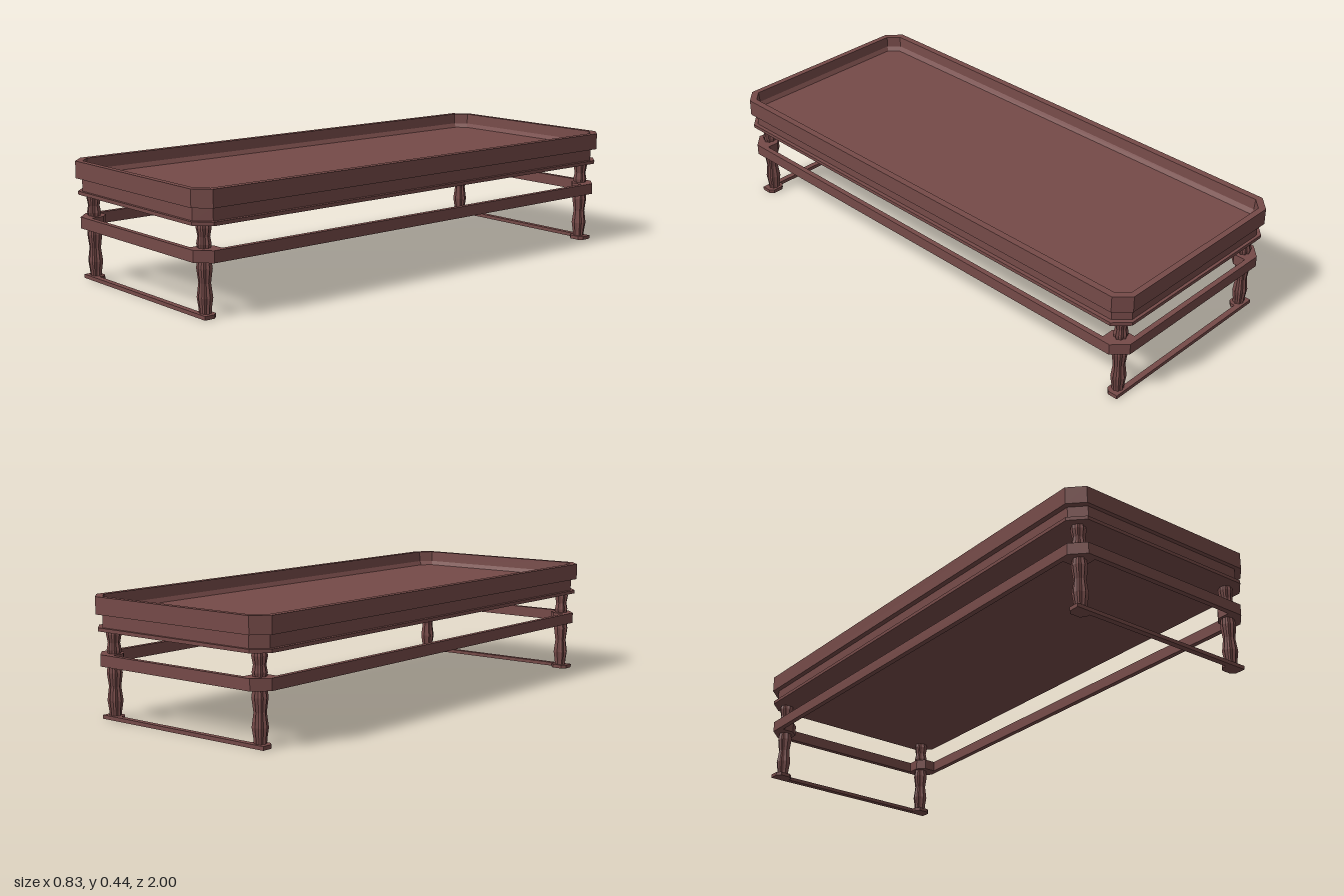
import * as THREE from 'three';

const material = new THREE.MeshStandardMaterial({ color: 0x754a48, flatShading: true });

function addMesh(parent, name, geometry) {
  const mesh = new THREE.Mesh(geometry, material);
  mesh.name = name;
  parent.add(mesh);
  return mesh;
}

// Rectangle with cut corners as plan points, counter-clockwise
function octagon(hx, hz, c) {
  return [
    [hx, -hz + c], [hx, hz - c], [hx - c, hz], [-hx + c, hz],
    [-hx, hz - c], [-hx, -hz + c], [-hx + c, -hz], [hx - c, -hz],
  ].map(([x, y]) => new THREE.Vector2(x, y));
}

// Skin over stacked octagon sections [halfX, halfZ, corner, y], capped at both ends
function loft(sections) {
  const positions = [];
  const index = [];
  for (const [hx, hz, c, y] of sections) {
    for (const p of octagon(hx, hz, c)) positions.push(p.x, y, -p.y);
  }
  for (let s = 0; s < sections.length - 1; s++) {
    for (let i = 0; i < 8; i++) {
      const a = s * 8 + i, b = s * 8 + (i + 1) % 8;
      index.push(a, b, b + 8, a, b + 8, a + 8);
    }
  }
  const last = (sections.length - 1) * 8;
  for (let i = 1; i < 7; i++) {
    index.push(0, i + 1, i);
    index.push(last, last + i, last + i + 1);
  }
  const g = new THREE.BufferGeometry();
  g.setAttribute('position', new THREE.Float32BufferAttribute(positions, 3));
  g.setIndex(index);
  const flat = g.toNonIndexed();
  flat.computeVertexNormals();
  return flat;
}

// Flat plan shape raised from y0 to y1
function slab(shape, y0, y1) {
  const g = new THREE.ExtrudeGeometry(shape, { depth: y1 - y0, bevelEnabled: false });
  return g.rotateX(-Math.PI / 2).translate(0, y0, 0);
}

// Fluted, wavy post: a lathe with every second ridge pulled in
function legGeometry() {
  const profile = [
    [0.023, 0.012], [0.024, 0.03], [0.03, 0.068], [0.023, 0.118], [0.03, 0.168],
    [0.024, 0.205], [0.024, 0.232], [0.028, 0.25], [0.023, 0.275], [0.029, 0.305], [0.025, 0.325],
  ].map(([r, y]) => new THREE.Vector2(r, y));
  const sides = 16;
  const g = new THREE.LatheGeometry(profile, sides);
  const p = g.attributes.position;
  for (let i = 0; i < p.count; i++) {
    const side = Math.floor(i / profile.length);
    const k = side % 2 ? 0.8 : 1;
    p.setXYZ(i, p.getX(i) * k, p.getY(i), p.getZ(i) * k * 0.88);
  }
  g.computeVertexNormals();
  return g;
}

export function createModel() {
  const table = new THREE.Group();
  table.name = 'trayTable';

  // Tray top: bottom lip, recessed band, rim, then the inner wall down to the floor
  addMesh(table, 'trayTop', loft([
    [0.412, 0.995, 0.052, 0.320],
    [0.412, 0.995, 0.052, 0.333],
    [0.397, 0.984, 0.049, 0.333],
    [0.397, 0.984, 0.049, 0.380],
    [0.417, 1.000, 0.052, 0.380],
    [0.417, 1.000, 0.052, 0.443],
    [0.391, 0.977, 0.040, 0.443],
    [0.388, 0.974, 0.039, 0.402],
    [0.376, 0.964, 0.035, 0.386],
  ]));

  // Stretcher frame: thin rails that thicken into a block round each leg
  const frame = new THREE.Shape(octagon(0.407, 0.99, 0.05));
  const corner = [[0.387, 0.895], [0.34, 0.895], [0.312, 0.922], [0.312, 0.97]];
  const mirrored = [...corner].reverse();
  frame.holes.push(new THREE.Path([
    ...corner,
    ...mirrored.map(([x, z]) => [-x, z]),
    ...corner.map(([x, z]) => [-x, -z]),
    ...mirrored.map(([x, z]) => [x, -z]),
  ].map(([x, z]) => new THREE.Vector2(x, z))));
  addMesh(table, 'stretcherFrame', slab(frame, 0.195, 0.237));

  // Legs
  const leg = legGeometry();
  for (const sx of [-1, 1]) {
    for (const sz of [-1, 1]) {
      addMesh(table, sz > 0 ? 'frontLeg' : 'backLeg', leg)
        .position.set(sx * 0.348 - 0.004, 0, sz * 0.937);
    }
  }

  // Foot bars: narrow runner with a wider pad under each leg
  for (const sz of [-1, 1]) {
    const pts = [
      [-0.385, 0.964], [-0.385, 0.925], [-0.37, 0.91], [-0.33, 0.91], [-0.315, 0.925], [-0.315, 0.942],
      [0.315, 0.942], [0.315, 0.925], [0.33, 0.91], [0.37, 0.91], [0.385, 0.925], [0.385, 0.964],
    ].map(([x, z]) => new THREE.Vector2(x, -sz * z));
    const foot = addMesh(table, sz > 0 ? 'frontFootBar' : 'backFootBar', slab(new THREE.Shape(pts), 0, 0.014));
    foot.position.x = -0.004;
  }

  return table;
}
